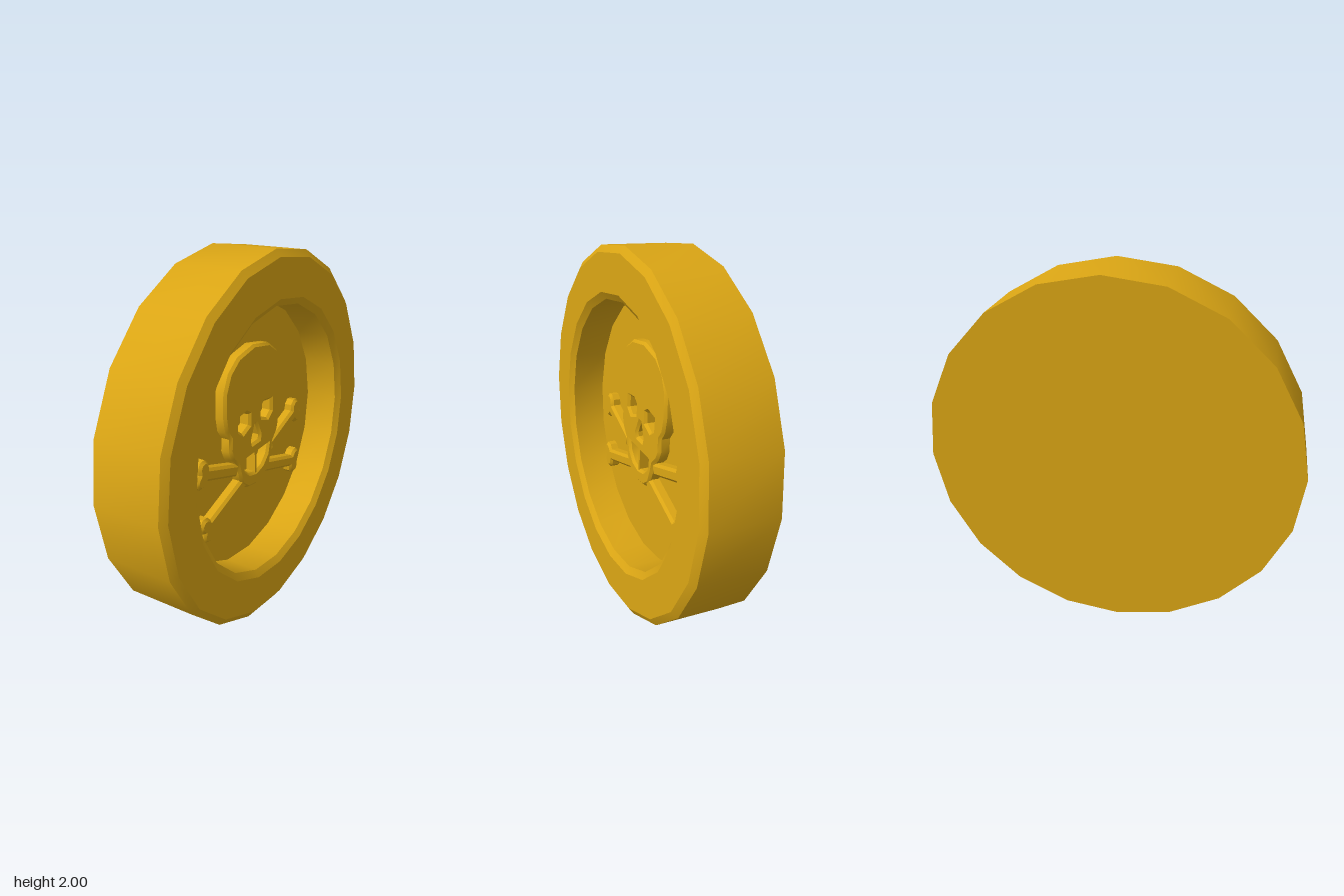
import * as THREE from 'three';
import { toCreasedNormals } from 'three/addons/utils/BufferGeometryUtils.js';

const RADIUS = 0.992, HALF = 0.194, FLOOR = -0.015;

const vectors = (pts) => pts.map(([x, y]) => new THREE.Vector2(x, y));
const mirrored = (pts) => pts.map(([x, y]) => [-x, y]).reverse();

export function createModel() {
  const gold = new THREE.MeshStandardMaterial({ color: 0xdaa514 });
  const coin = new THREE.Group();
  coin.name = 'coin';

  const add = (name, geometry) => {
    const mesh = new THREE.Mesh(toCreasedNormals(geometry, 0.6), gold);
    mesh.name = name;
    coin.add(mesh);
    return mesh;
  };

  // Bevelled relief standing on the recessed floor
  const relief = (name, shape, height) => {
    const sink = 0.03, bevel = 0.014;
    const geometry = new THREE.ExtrudeGeometry(shape, {
      depth: height + sink - 2 * bevel, bevelThickness: bevel, bevelSize: bevel,
      bevelOffset: -bevel, bevelSegments: 1, curveSegments: 4,
    });
    geometry.translate(0, 0, FLOOR - sink + bevel);
    return add(name, geometry);
  };

  // Twenty-sided body with a raised, bevelled rim and a sunken face
  const body = new THREE.LatheGeometry(vectors([
    [0, -HALF], [RADIUS, -HALF], [RADIUS, HALF - 0.025], [RADIUS - 0.036, HALF],
    [0.756, HALF], [0.72, HALF - 0.025], [0.72, FLOOR], [0, FLOOR],
  ]), 20);
  body.rotateX(Math.PI / 2);
  add('coinBody', body);

  // Skull with eye, nose and mouth openings
  const half = [
    [0, -0.293], [0.085, -0.278], [0.14, -0.235], [0.165, -0.16], [0.18, -0.1], [0.225, -0.055],
    [0.247, 0], [0.24, 0.07], [0.275, 0.12], [0.288, 0.2], [0.28, 0.33], [0.235, 0.42],
    [0.15, 0.48], [0, 0.508],
  ];
  const skull = new THREE.Shape(vectors([...half, ...mirrored(half).slice(1, -1)]));
  const eye = [[0.062, 0.085], [0.125, 0.06], [0.165, 0.09], [0.165, 0.155], [0.09, 0.165], [0.06, 0.145]];
  const nose = [[-0.035, -0.035], [0.035, -0.035], [0.042, -0.01], [0.008, 0.065], [-0.008, 0.065], [-0.042, -0.01]];
  const mouth = [[-0.065, -0.2], [0, -0.215], [0.065, -0.2], [0.115, -0.155], [0.132, -0.1], [-0.132, -0.1], [-0.115, -0.155]];
  for (const hole of [eye, mirrored(eye), nose, mouth]) {
    skull.holes.push(new THREE.Path(vectors(hole)));
  }
  relief('skull', skull, 0.061);

  // Thin divider between the teeth
  const tooth = new THREE.BoxGeometry(0.018, 0.14, 0.07);
  tooth.translate(0, -0.155, FLOOR + 0.02);
  add('toothDivider', tooth);

  // Four bone ends emerging from behind the skull, each with a two-lobed knob
  const bone = (name, from, to) => {
    const dx = to[0] - from[0], dy = to[1] - from[1];
    const length = Math.hypot(dx, dy);
    const side = [
      [0, -0.034], [length - 0.05, -0.034], [length - 0.035, -0.064], [length, -0.077],
      [length + 0.032, -0.06], [length + 0.04, -0.028],
    ];
    const outline = [...side, [length + 0.026, 0], ...side.map(([x, y]) => [x, -y]).reverse()];
    const mesh = relief(name, new THREE.Shape(vectors(outline)), 0.055);
    mesh.position.set(from[0], from[1], 0);
    mesh.rotation.z = Math.atan2(dy, dx);
  };
  for (const [label, s] of [['left', 1], ['right', -1]]) {
    bone(label + 'UpperBone', [s * 0.17, -0.135], [s * 0.48, -0.025]);
    bone(label + 'LowerBone', [s * 0.1, -0.23], [s * 0.465, -0.35]);
  }

  // Coin stands on edge, turned and slightly tilted
  coin.rotation.set(-0.04, 0.447, -0.033, 'YXZ');
  coin.position.y = 1;

  const model = new THREE.Group();
  model.name = 'skullCoin';
  model.add(coin);
  return model;
}
